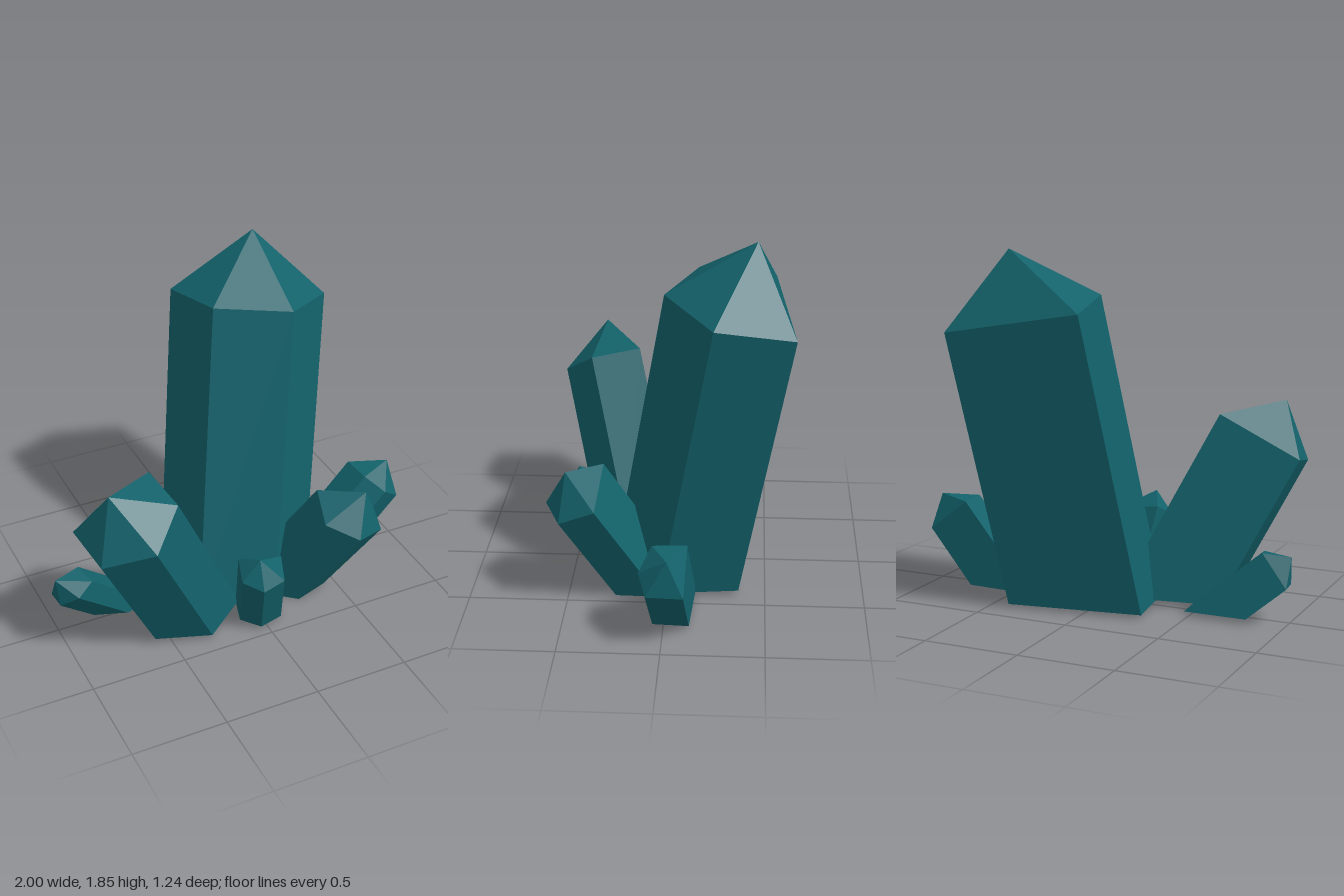
import * as THREE from 'three';

// Each crystal: five rim corners (counter-clockwise from above), tip, lean per unit height, foot height
const CRYSTALS = [
  {
    name: 'mainCrystal', tip: [0.33, 1.845, -0.43], lean: [0.14, -0.18], foot: 0.02,
    rim: [[-0.09, 1.55, -0.53], [-0.03, 1.61, -0.14], [0.34, 1.58, 0.015], [0.65, 1.5, -0.23], [0.59, 1.44, -0.62]],
  },
  {
    name: 'largeRightCrystal', tip: [-0.83, 1.055, 0.4], lean: [-0.48, 0.26], foot: 0.03,
    rim: [[-0.96, 0.78, 0.23], [-0.92, 0.73, 0.5], [-0.68, 0.81, 0.62], [-0.5, 0.945, 0.46], [-0.54, 0.99, 0.2]],
  },
  {
    name: 'mediumLeftCrystal', tip: [0.53, 0.725, 0.49], lean: [0.37, 0.54], foot: 0,
    rim: [[0.34, 0.69, 0.32], [0.3, 0.59, 0.49], [0.445, 0.52, 0.6], [0.615, 0.485, 0.52], [0.65, 0.565, 0.34]],
  },
  {
    name: 'smallFrontCrystal', tip: [-0.07, 0.49, 0.49], lean: [-0.14, 0.36], foot: 0.015,
    rim: [[-0.13, 0.43, 0.36], [-0.165, 0.37, 0.48], [-0.085, 0.345, 0.57], [0.045, 0.355, 0.54], [0.095, 0.4, 0.4]],
  },
  {
    name: 'smallLeftCrystal', tip: [0.975, 0.48, -0.03], lean: [0.87, 0.06], foot: 0.015,
    rim: [[0.78, 0.47, -0.12], [0.79, 0.47, 0.05], [0.89, 0.375, 0.11], [0.99, 0.3, 0.07], [1, 0.3, -0.11]],
  },
  {
    name: 'smallRightCrystal', tip: [-1, 0.335, 0.01], lean: [-1.17, 0.27], foot: 0.025,
    rim: [[-1, 0.19, -0.07], [-0.99, 0.19, 0.04], [-0.915, 0.27, 0.12], [-0.83, 0.33, 0.09], [-0.86, 0.35, -0.03]],
  },
];

// Slanted prism cut level at the foot, closed by a pointed cap
function crystalGeometry({ rim, tip, lean, foot }) {
  const base = rim.map(([x, y, z]) => [x - (y - foot) * lean[0], foot, z - (y - foot) * lean[1]]);
  const positions = [];
  const triangle = (a, b, c) => positions.push(...a, ...b, ...c);
  const n = rim.length;
  for (let i = 0; i < n; i++) {
    const j = (i + 1) % n;
    triangle(base[i], base[j], rim[j]);
    triangle(base[i], rim[j], rim[i]);
    triangle(rim[i], rim[j], tip);
    if (i > 0 && j > 0) triangle(base[0], base[j], base[i]);
  }
  const geometry = new THREE.BufferGeometry();
  geometry.setAttribute('position', new THREE.Float32BufferAttribute(positions, 3));
  geometry.computeVertexNormals();
  return geometry;
}

export function createModel() {
  const group = new THREE.Group();
  group.name = 'crystalCluster';
  const material = new THREE.MeshStandardMaterial({ color: 0x13626b, flatShading: true });
  for (const crystal of CRYSTALS) {
    const mesh = new THREE.Mesh(crystalGeometry(crystal), material);
    mesh.name = crystal.name;
    group.add(mesh);
  }
  return group;
}
